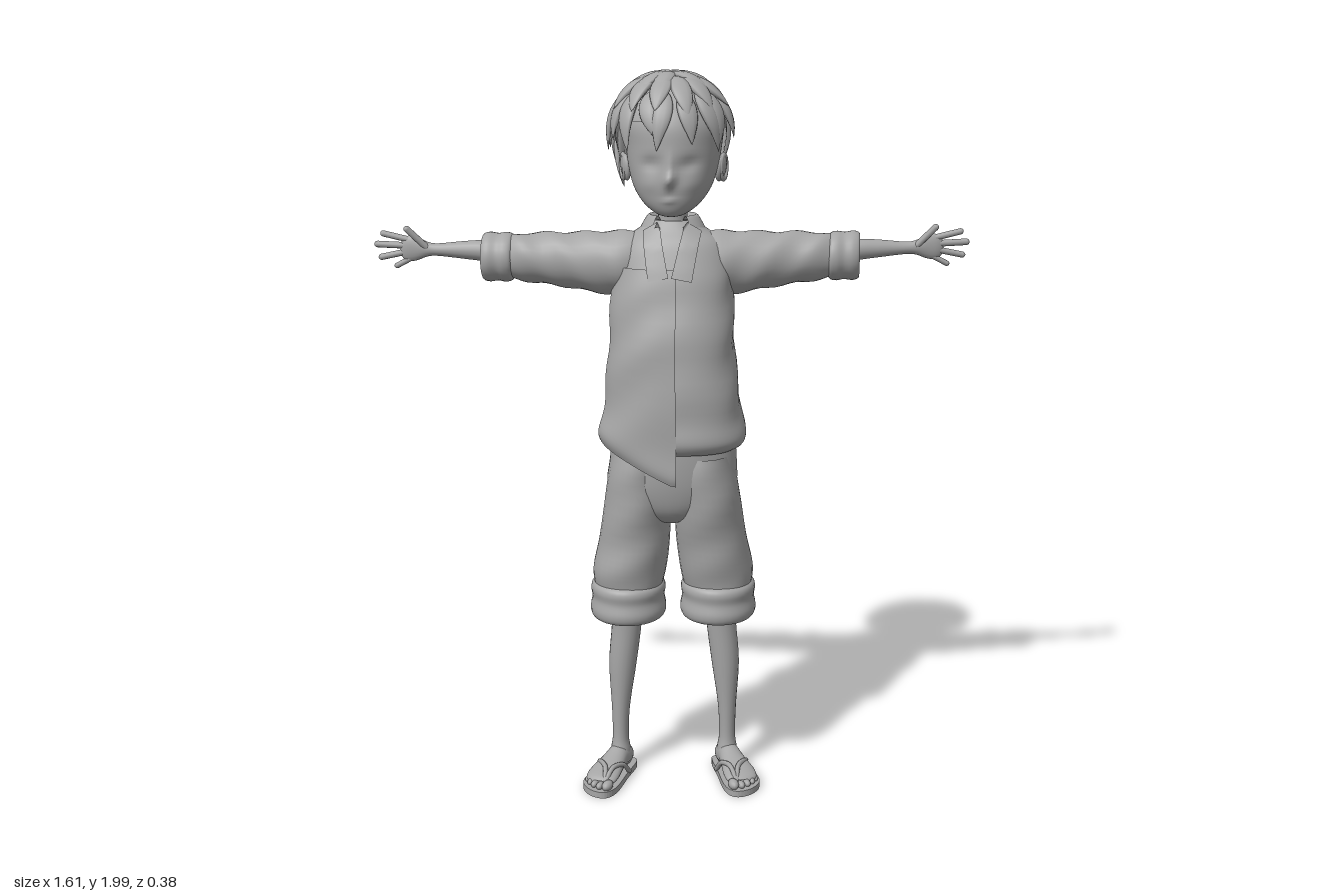
import * as THREE from 'three';

const V = (x, y, z) => new THREE.Vector3(x, y, z);
const { lerp, clamp, smoothstep } = THREE.MathUtils;

// smooth surface from fn(u, v); u wraps round when closed; wound to face outward
function grid(fn, nu, nv, closed = true) {
  const pos = [], idx = [], w = closed ? nu : nu + 1;
  for (let j = 0; j <= nv; j++)
    for (let i = 0; i < w; i++) pos.push(...fn(i / nu, j / nv).toArray());
  for (let j = 0; j < nv; j++)
    for (let i = 0; i < nu; i++) {
      const a = j * w + i, b = j * w + (i + 1) % w, c = a + w, d = b + w;
      idx.push(a, b, c, b, d, c);
    }
  const g = new THREE.BufferGeometry();
  g.setAttribute('position', new THREE.Float32BufferAttribute(pos, 3));
  g.computeBoundingBox();
  const mid = closed ? g.boundingBox.getCenter(V()) : V(0, 1.3, 0);
  const at = i => V().fromArray(pos, i * 3).sub(mid);
  let vol = 0;
  for (let i = 0; i < idx.length; i += 3) vol += at(idx[i]).dot(at(idx[i + 1]).cross(at(idx[i + 2])));
  g.setIndex(vol < 0 ? idx.reverse() : idx);
  g.computeVertexNormals();
  return g;
}

// smooth loft through cross-sections [x, y, z, halfA, halfB] stacked along an axis
function loft(secs, { axis = 'y', n = 28, e = 2, arc, grow = 0, warp } = {}) {
  const steps = 5, last = secs.length - 1;
  const sample = t => {
    const k = Math.min(Math.floor(t * last), last - 1), f = t * last - k;
    const S = i => secs[clamp(i, 0, last)];
    return S(k).map((p1, c) => {
      const p0 = S(k - 1)[c], p2 = S(k + 1)[c], p3 = S(k + 2)[c];
      return p1 + 0.5 * f * (p2 - p0 + f * (2 * p0 - 5 * p1 + 4 * p2 - p3 + f * (3 * (p1 - p2) + p3 - p0)));
    });
  };
  const pow = c => Math.sign(c) * Math.abs(c) ** (2 / e);
  return grid((u, v) => {
    const [x, y, z, a, b] = sample(v);
    const t = arc ? lerp(arc[0], arc[1], u) : u * Math.PI * 2;
    const c = pow(Math.cos(t)) * (Math.max(a, 0.0005) + grow), s = pow(Math.sin(t)) * (Math.max(b, 0.0005) + grow);
    const p = axis === 'y' ? V(x + c, y, z + s) : axis === 'x' ? V(x, y + c, z + s) : V(x + c, y + s, z);
    if (warp) warp(p, t);
    return p;
  }, n, last * steps, !arc);
}

const TORSO = [
  [.01, .985, .02, .168, .122], [.01, 1.0, .02, .19, .138], [.01, 1.03, .022, .196, .146], [.01, 1.1, .02, .184, .142],
  [.008, 1.25, .015, .168, .138], [.008, 1.4, 0, .162, .122], [.005, 1.48, -.01, .158, .108],
  [.005, 1.54, -.015, .135, .09], [.005, 1.575, -.02, .09, .068], [.005, 1.6, -.02, .055, .05]];
const E_TORSO = 2.3;
function chestZ(x, y) {
  const k = clamp(TORSO.findIndex(s => s[1] > y), 1, TORSO.length - 1);
  const f = (y - TORSO[k - 1][1]) / (TORSO[k][1] - TORSO[k - 1][1]);
  const [cx, , cz, a, b] = TORSO[k].map((q, i) => lerp(TORSO[k - 1][i], q, clamp(f, 0, 1)));
  return cz + b * Math.max(0, 1 - Math.abs((x - cx) / a) ** E_TORSO) ** (1 / E_TORSO);
}

export function createModel() {
  const root = new THREE.Group();
  const clay = new THREE.MeshStandardMaterial({ color: 0xa6a6a6, side: THREE.DoubleSide });
  clay.name = 'grey clay';
  const add = (name, geo, parent = root) => {
    const m = new THREE.Mesh(geo, clay);
    m.name = name;
    parent.add(m);
    return m;
  };
  const capsule = (name, p, q, r, parent) => {
    const d = q.clone().sub(p), m = add(name, new THREE.CapsuleGeometry(r, d.length(), 4, 10), parent);
    m.position.copy(p).lerp(q, .5);
    m.quaternion.setFromUnitVectors(V(0, 1, 0), d.normalize());
  };

  // shirt body with soft folds, and the overlapping front panel with its hanging tail
  const fold = (p, t) => {
    const k = .003 * Math.sin(p.y * 38 + t * 2 + Math.sin(t * 3)) * smoothstep(1.56 - p.y, 0, .2);
    p.x += k * Math.cos(t);
    p.z += k * Math.sin(t);
  };
  add('shirt', loft(TORSO, { n: 48, e: E_TORSO, warp: fold }));
  add('shirtFrontPanel', loft(TORSO.slice(1, 7), {
    n: 24, e: E_TORSO, arc: [1.5, 2.9], grow: .007, warp: (p, t) => {
      fold(p, t);
      p.y -= smoothstep(1.25 - p.y, 0, .25) * lerp(.0, .095, clamp((p.x + .18) / .2, 0, 1));
    } }));

  // collar band and pointed flaps
  add('collarBand', loft([[.005, 1.555, -.02, .098, .078], [.005, 1.59, -.022, .08, .066], [.005, 1.612, -.024, .064, .056],
    [.005, 1.6, -.024, .05, .046]], { n: 32, arc: [2.2, 7.22] }));
  for (const s of [1, -1]) {
    const c = [[.035, 1.6], [.078, 1.575], [.004, 1.46], [.058, 1.45]].map(([x, y]) => [.008 + s * x, y]);
    add('collarFlap', grid((u, v) => {
      const x = lerp(lerp(c[0][0], c[1][0], u), lerp(c[2][0], c[3][0], u), v);
      const y = lerp(lerp(c[0][1], c[1][1], u), lerp(c[2][1], c[3][1], u), v);
      return V(x, y, chestZ(x, y) + .013);
    }, 8, 10, false));
  }

  // arms: rolled sleeve, forearm, hand; the model's left arm swings back
  for (const s of [1, -1]) {
    const arm = new THREE.Group();
    arm.name = s > 0 ? 'leftArm' : 'rightArm';
    root.add(arm);
    const swing = p => { p.z += s > 0 ? -.01 - .225 * (p.x - .05) : -.004; p.x *= s; return p; };
    add('sleeve', loft([[.06, 1.495, 0, .07, .06], [.14, 1.482, 0, .086, .078], [.22, 1.484, 0, .08, .075],
      [.32, 1.49, 0, .071, .07], [.39, 1.493, 0, .065, .066], [.43, 1.493, 0, .058, .06]], {
      axis: 'x', warp: (p, t) => {
        p.y += .003 * Math.sin(p.x * 62 + t * 2);
        p.z += .003 * Math.sin(p.x * 50 + t);
        swing(p);
      } }), arm);
    add('sleeveCuff', loft([[.42, .05], [.428, .063], [.445, .067], [.465, .064], [.488, .067], [.504, .062], [.505, .05], [.49, .038], [.47, .02]]
      .map(([x, r]) => [x, 1.493, 0, r, r]), { axis: 'x', warp: swing }), arm);
    add('forearm', loft([[.42, 1.497, 0, .032, .032], [.5, 1.508, 0, .029, .029], [.56, 1.51, 0, .024, .024], [.63, 1.51, 0, .017, .018],
      [.66, 1.511, 0, .02, .016], [.69, 1.513, 0, .033, .014], [.715, 1.512, 0, .034, .012], [.73, 1.511, 0, .022, .007],
      [.735, 1.511, 0, 0, 0]], { axis: 'x', n: 20, warp: swing }), arm);
    const fingers = [[.705, 1.535, 0, .78, 1.552, 0, .0085], [.715, 1.52, 0, .797, 1.523, 0, .009], [.715, 1.504, 0, .787, 1.488, 0, .0085],
      [.7, 1.489, 0, .745, 1.465, 0, .0075], [.662, 1.518, .008, .71, 1.568, .024, .009]];
    for (const [a, b, c, d, e, f, r] of fingers) capsule('finger', swing(V(a, b, c)), swing(V(d, e, f)), r, arm);
  }

  // shorts seat
  add('shortsSeat', loft([[.01, 1.06, .02, .165, .122], [.01, .95, .02, .174, .122], [.005, .87, .017, .176, .116],
    [.005, .81, .012, .13, .1], [.005, .775, .01, .05, .06], [.005, .765, .01, 0, 0]], { n: 36 }));

  // legs: trouser leg, rolled cuff, shin and sandalled foot
  for (const s of [1, -1]) {
    const leg = new THREE.Group();
    leg.name = s > 0 ? 'leftLeg' : 'rightLeg';
    root.add(leg);
    const z0 = s > 0 ? -.018 : .008, X = x => s * x + .008;
    add('shortsLeg', loft([[X(.08), .97, .02, .085, .11], [X(.092), .87, .018, .09, .118], [X(.106), .72, .003 + z0 / 2, .098, .115],
      [X(.12), .63, z0, .102, .113], [X(.124), .57, z0, .092, .104]], { n: 32, warp: (p, t) => {
      p.z += .003 * Math.sin(p.y * 45 + t * 2);
    } }), leg);
    add('shortsCuff', loft([[.595, .088], [.585, .1], [.57, .104], [.545, .101], [.515, .106], [.495, .102], [.488, .09], [.505, .07], [.52, .035], [.52, 0]]
      .map(([y, r]) => [X(.125), y, z0, r, r * 1.14]), { n: 32 }), leg);
    const ax = X(.152), az = s > 0 ? -.05 : -.012;
    add('shin', loft([[X(.128), .56, az + .005, .044, .044], [X(.133), .45, az, .042, .041], [X(.145), .33, az - .003, .039, .041],
      [X(.151), .2, az, .026, .031], [ax, .11, az, .023, .028], [ax, .07, az, .028, .034], [ax, .035, az, .03, .038]], { n: 20 }), leg);

    const foot = new THREE.Group();
    foot.name = 'foot';
    foot.position.set(ax, 0, az);
    foot.rotation.y = s > 0 ? .34 : -.29;
    foot.scale.x = s;
    leg.add(foot);
    const sole = new THREE.Shape().setFromPoints(new THREE.SplineCurve(
      [[0, .053], [.034, .04], [.04, -.02], [.058, -.1], [.05, -.155], [.012, -.192], [-.032, -.195], [-.05, -.15], [-.042, -.05], [-.034, .04], [0, .053]]
        .map(p => new THREE.Vector2(...p))).getPoints(50));
    add('sandalSole', new THREE.ExtrudeGeometry(sole, { depth: .018, bevelEnabled: false }).rotateX(-Math.PI / 2), foot);
    add('footBody', loft([[0, .035, -.048, 0, 0], [0, .04, -.042, .02, .022], [0, .045, -.015, .031, .036], [0, .05, .02, .031, .036],
      [.002, .043, .06, .037, .029], [.004, .035, .11, .046, .02], [.002, .03, .145, .042, .014], [0, .028, .16, .02, .006]], {
      axis: 'z', n: 24, warp: p => { p.y = Math.max(p.y, .015); } }), foot);
    [[-.03, .168, .0145], [-.008, .17, .0105], [.011, .163, .01], [.028, .151, .0095], [.042, .136, .009]].forEach(([x, z, r]) => {
      const toe = add('toe', new THREE.SphereGeometry(r, 14, 10), foot);
      toe.position.set(x, .016 + r * .8, z);
      toe.scale.z = 1.6;
    });
    for (const e of [-1, 1])
      add('sandalStrap', new THREE.TubeGeometry(new THREE.CatmullRomCurve3(
        [V(-.017, .03, .155), V(-.012 + e * .012, .058, .115), V(e * .036, .05, .07), V(e * .041, .016, .035)]), 20, .007, 8), foot);
  }

  // neck and head, with nose, eye sockets and mouth pushed in or out of the face
  add('neck', loft([[.005, 1.53, -.02, .048, .045], [.005, 1.6, -.02, .04, .04], [.006, 1.66, -.015, .04, .042], [.006, 1.74, -.015, .05, .05]], { n: 20 }));
  const marks = [[0, 1.718, .024, .013, .018], [0, 1.75, .008, .011, .03], [.05, 1.758, -.011, .026, .017], [-.05, 1.758, -.011, .026, .017],
    [0, 1.676, -.004, .025, .005], [0, 1.666, .005, .018, .007], [.055, 1.705, .004, .025, .02], [-.055, 1.705, .004, .025, .02]];
  add('head', loft([[.008, 1.616, .072, 0, 0], [.008, 1.624, .07, .035, .034], [.008, 1.65, .047, .073, .073], [.008, 1.69, .02, .102, .107],
    [.008, 1.74, 0, .118, .128], [.008, 1.8, -.02, .128, .148], [.006, 1.86, -.025, .132, .146], [.005, 1.92, -.03, .104, .115],
    [.005, 1.96, -.03, .05, .06], [.005, 1.968, -.03, 0, 0]], { n: 72, warp: p => {
    if (p.z > 0) for (const [x, y, h, sx, sy] of marks)
      p.z += h * Math.exp(-(((p.x - .008 - x) / sx) ** 2) - ((p.y - y) / sy) ** 2);
  } }));
  for (const s of [1, -1]) {
    const ear = add('ear', new THREE.SphereGeometry(1, 18, 14));
    ear.scale.set(.012, .037, .025);
    ear.position.set(.006 + s * .127, 1.737, -.018);
    ear.rotation.set(-.15, s * -.35, s * -.15);
    const rim = add('earRim', new THREE.TorusGeometry(.022, .006, 8, 20));
    rim.scale.set(.9, 1.4, 1);
    rim.position.set(.006 + s * .134, 1.738, -.022);
    rim.rotation.set(0, Math.PI / 2 - s * .35, 0);
  }

  // hair: a cap over the skull and rows of pointed locks fanning out from the crown
  const C = V(-.002, 1.835, -.028);
  const scalp = (th, ph, k) => V(C.x + .158 * k * Math.sin(th) * Math.sin(ph),
    C.y + (th < Math.PI / 2 ? .146 : .21) * k * Math.cos(th), C.z + .155 * k * Math.sin(th) * Math.cos(ph));
  add('hairCap', grid((u, v) => {
    const ph = u * Math.PI * 2;
    return scalp(v * lerp(2.35, 1.35, smoothstep(Math.cos(ph), -.5, .3)), ph, .95);
  }, 40, 24));
  let seed = 7;
  const rnd = () => (seed = (seed * 16807) % 2147483647) / 2147483647 - .5;
  const lock = (ph0, th0, th1, w, k, lift) => {
    const bend = rnd() * .35 + .08;
    return grid((u, v) => {
      const ph = ph0 + bend * v * v, c = scalp(lerp(th0, th1, v), ph, k + lift * v * v);
      const r = Math.max(0, Math.sin(Math.PI * (.14 + .86 * v ** .9))) ** .8, t = u * Math.PI * 2;
      return c.addScaledVector(V(Math.cos(ph), 0, -Math.sin(ph)), w * r * Math.cos(t))
        .addScaledVector(c.clone().sub(C).normalize(), .012 * r * Math.sin(t));
    }, 10, 12);
  };
  // rows: count, start and end angle from the crown, half width, size, lift, foremost cosine
  const rows = [[7, .05, .8, .026, 1, .06, 2], [12, .35, 1.2, .028, 1, .07, 2], [17, .8, 1.72, .027, .98, .09, 2],
    [18, 1.2, 2.0, .026, .97, .13, -.12], [17, 1.6, 2.42, .025, .96, .12, -.3]];
  rows.forEach(([n, th0, th1, w, k, lift, front], r) => {
    for (let i = 0; i < n; i++) {
      const ph = (i + r * .5 + rnd() * .4) / n * Math.PI * 2;
      if (Math.cos(ph) < front) add('hairLock', lock(ph, th0, th1 + rnd() * .2, w, k, lift + rnd() * .05));
    }
  });
  return root;
}
